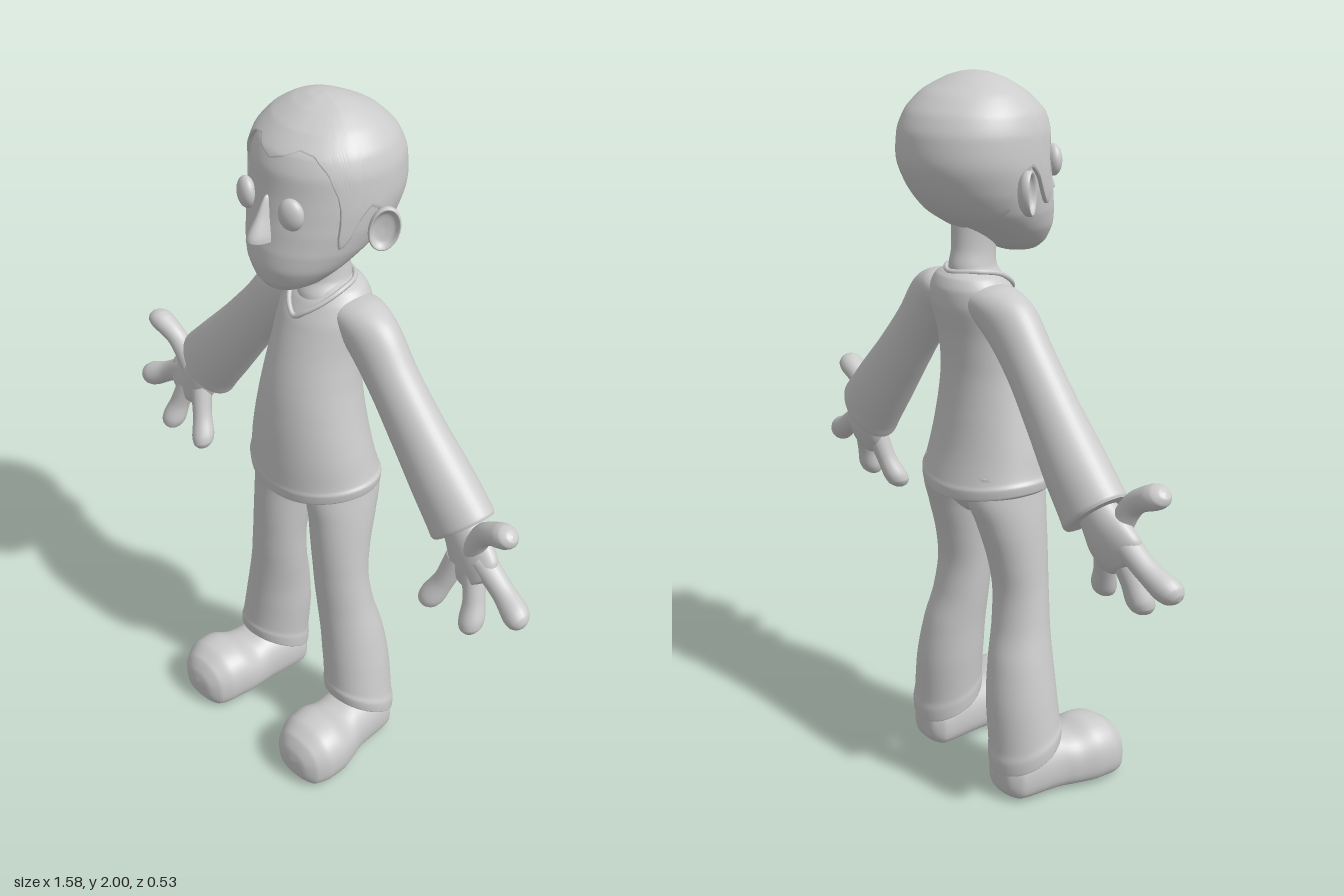
import * as THREE from 'three';

const V3 = (x, y, z) => new THREE.Vector3(x, y, z);
const X = V3(1, 0, 0), Y = V3(0, 1, 0), Z = V3(0, 0, 1);
const material = new THREE.MeshStandardMaterial({ color: 0xcccccc, side: THREE.DoubleSide });

// Grid of points f(t, angle) turned into a smooth closed-ring surface with optional flat caps
function surface(f, rows, cols, cap = [false, false]) {
  const pos = [], idx = [];
  for (let i = 0; i <= rows; i++)
    for (let j = 0; j <= cols; j++) pos.push(...f(i / rows, ((j % cols) / cols) * Math.PI * 2).toArray());
  const w = cols + 1;
  for (let i = 0; i < rows; i++)
    for (let j = 0; j < cols; j++) {
      const a = i * w + j, b = a + w;
      idx.push(a, a + 1, b, a + 1, b + 1, b);
    }
  cap.forEach((on, end) => {
    if (!on) return;
    const start = pos.length / 3, centre = V3(0, 0, 0);
    for (let j = 0; j < cols; j++) {
      const p = f(end, (j / cols) * Math.PI * 2);
      centre.addScaledVector(p, 1 / cols);
      pos.push(...p.toArray());
    }
    pos.push(...centre.toArray());
    for (let j = 0; j < cols; j++) {
      const a = start + j, b = start + ((j + 1) % cols);
      idx.push(start + cols, ...(end ? [a, b] : [b, a]));
    }
  });
  const g = new THREE.BufferGeometry();
  g.setAttribute('position', new THREE.Float32BufferAttribute(pos, 3));
  g.setIndex(idx);
  g.computeVertexNormals();
  // Weld the normals along the seam
  const n = g.attributes.normal;
  for (let i = 0; i <= rows; i++) {
    const a = i * w, b = a + cols;
    const s = V3(n.getX(a) + n.getX(b), n.getY(a) + n.getY(b), n.getZ(a) + n.getZ(b)).normalize();
    n.setXYZ(a, s.x, s.y, s.z);
    n.setXYZ(b, s.x, s.y, s.z);
  }
  return g;
}

// Smooth loft through sections [x, y, z, half width along U, half width along V]
function section(list) {
  const c = new THREE.CatmullRomCurve3(list.map(s => V3(s[0], s[1], s[2])));
  const r = new THREE.CatmullRomCurve3(list.map(s => V3(s[3], s[4], 0)));
  return (t) => {
    const q = r.getPoint(t);
    return { c: c.getPoint(t), a: Math.max(q.x, 0), b: Math.max(q.y, 0) };
  };
}
function loft(list, U, V, { cap, cols = 40, bend = p => p, power = 1 } = {}) {
  const at = section(list);
  const pw = v => Math.sign(v) * Math.abs(v) ** power;
  return surface((t, th) => {
    const s = at(t);
    return bend(s.c.addScaledVector(U, s.a * pw(Math.sin(th))).addScaledVector(V, s.b * pw(Math.cos(th))));
  }, list.length * 6, cols, cap);
}
// Upright section given as [y, half width, front z, back z, centre x]
const up = ([y, w, f, b, x = 0]) => [x, y, (f + b) / 2, w, (f - b) / 2];

function mirrored(geo) {
  const g = geo.clone().scale(-1, 1, 1), i = g.index.array;
  for (let k = 0; k < i.length; k += 3) [i[k], i[k + 1]] = [i[k + 1], i[k]];
  return g;
}

// Rounded finger through a root, a knuckle and a tip
function finger(root, mid, tip, r) {
  const [a, b, c] = [root, mid, tip].map(p => V3(...p));
  const T = c.clone().sub(a).normalize(), U = T.clone().cross(Z).normalize();
  const end = c.clone().sub(b).normalize();
  const back = d => c.clone().addScaledVector(end, -d * r);
  return loft([[a, 1], [b, 0.9], [back(1.3), 1.05], [back(0.6), 0.93], [back(0.15), 0.5], [c, 0]]
    .map(([p, k]) => [p.x, p.y, p.z, r * k, r * k]), U, Z, { cols: 18 });
}

export function createModel() {
  const model = new THREE.Group();
  const add = (name, geo) => {
    const m = new THREE.Mesh(geo, material);
    m.name = name;
    model.add(m);
  };
  const pair = (name, geo) => {
    add('left' + name, geo);
    add('right' + name, mirrored(geo));
  };

  // Head
  const headList = [
    [1.522, 0, 0.09, 0.07], [1.53, 0.05, 0.128, 0.03], [1.555, 0.094, 0.15, -0.03], [1.6, 0.135, 0.162, -0.1],
    [1.65, 0.163, 0.16, -0.175], [1.71, 0.181, 0.15, -0.222], [1.78, 0.19, 0.138, -0.25],
    [1.85, 0.187, 0.13, -0.247], [1.9, 0.172, 0.11, -0.225], [1.945, 0.135, 0.065, -0.18],
    [1.975, 0.085, 0.015, -0.122], [1.987, 0.042, -0.02, -0.085], [1.99, 0, -0.05, -0.05]].map(up);
  add('head', loft(headList, X, Z, { cols: 64 }));

  // Hair: an offset of the skull cut along the hairline [angle from front, y]
  const line = [[0, 1.885], [0.2, 1.897], [0.42, 1.915], [0.65, 1.907], [0.85, 1.87], [1.0, 1.8], [1.1, 1.7],
    [1.17, 1.672], [1.24, 1.685], [1.3, 1.75], [1.4, 1.78], [1.6, 1.76], [1.85, 1.67], [2.4, 1.62], [3.15, 1.605]];
  const hairline = th => {
    const a = Math.min(th, Math.PI * 2 - th), k = line.findIndex(p => p[0] > a);
    const [p, q] = [line[k - 1], line[k]], u = (a - p[0]) / (q[0] - p[0]);
    return p[1] + (q[1] - p[1]) * u;
  };
  const skull = section(headList);
  const heightToT = y => {
    let lo = 0, hi = 1;
    for (let i = 0; i < 24; i++) {
      const m = (lo + hi) / 2;
      if (skull(m).c.y < y) lo = m; else hi = m;
    }
    return lo;
  };
  add('hair', surface((t, th) => {
    const t0 = heightToT(hairline(th)), u = Math.max(0, t - 0.04) / 0.96;
    const s = skull(t0 + (1 - t0) * u), k = t === 0 ? 0.96 : t < 0.03 ? 1.045 : 1.065;
    return V3(s.a * k * Math.sin(th), s.c.y + 0.01 * u, s.c.z + s.b * k * Math.cos(th));
  }, 48, 160));

  // Face
  pair('Eye', new THREE.SphereGeometry(1, 28, 20).scale(0.035, 0.042, 0.022).rotateY(0.3).translate(0.083, 1.766, 0.133));
  add('nose', loft([[1.672, 0.024, 0.185, 0.1], [1.678, 0.03, 0.201, 0.1], [1.69, 0.029, 0.2, 0.1],
    [1.74, 0.017, 0.171, 0.1], [1.785, 0.008, 0.146, 0.1], [1.795, 0, 0.13, 0.11]].map(up), X, Z, { cap: [true, false], cols: 24 }));

  // Ears: shallow dishes with a rolled rim
  const dish = [[0, -0.02], [0.6, -0.016], [0.92, -0.004], [1, 0.008], [0.94, 0.017], [0.82, 0.014], [0.6, 0.004], [0, 0]];
  const dishCurve = new THREE.SplineCurve(dish.map(p => new THREE.Vector2(p[0], p[1])));
  const ear = new THREE.LatheGeometry(dishCurve.getPoints(28).map(p => new THREE.Vector2(Math.max(p.x, 0), p.y)), 32);
  ear.rotateZ(-Math.PI / 2).scale(1, 0.06, 0.04).rotateX(-0.2).rotateY(-0.65).translate(0.212, 1.717, -0.055);
  pair('Ear', ear);

  // Neck
  add('neck', loft([[1.42, 0.09, 0.025, -0.12], [1.465, 0.074, 0.018, -0.13], [1.5, 0.056, 0.0, -0.135],
    [1.55, 0.05, 0.0, -0.127], [1.64, 0.055, 0.01, -0.127]].map(up), X, Z));

  // Shirt body with a dipping hem
  const dip = p => {
    const w = THREE.MathUtils.clamp((1.1 - p.y) / 0.2, 0, 1);
    p.y -= 0.03 * w * (1 - (p.x / 0.21) ** 2);
    return p;
  };
  add('shirt', loft([[0.902, 0.195, 0.122, -0.172], [0.908, 0.205, 0.134, -0.184], [0.93, 0.208, 0.137, -0.185],
    [0.945, 0.2, 0.136, -0.18], [1.02, 0.184, 0.135, -0.16], [1.12, 0.16, 0.128, -0.145], [1.22, 0.14, 0.113, -0.14],
    [1.32, 0.13, 0.085, -0.152], [1.4, 0.132, 0.055, -0.172], [1.45, 0.122, 0.025, -0.172],
    [1.48, 0.098, -0.005, -0.158], [1.495, 0.06, -0.035, -0.135], [1.497, 0, -0.08, -0.09]].map(up),
  X, Z, { cap: [true, false], cols: 56, bend: dip }));

  // V-neck collar edge
  const half = [[0.03, 1.432, 0.042], [0.062, 1.46, 0.008], [0.078, 1.486, -0.04], [0.065, 1.496, -0.1]];
  const loop = [[0, 1.413, 0.052], ...half, [0, 1.492, -0.142], ...half.slice().reverse().map(([x, y, z]) => [-x, y, z])];
  add('collar', new THREE.TubeGeometry(new THREE.CatmullRomCurve3(loop.map(p => V3(...p)), true), 80, 0.007, 8, true));

  // Sleeves
  const armU = V3(-0.74, -0.67, 0);
  pair('Sleeve', loft([[0.03, 1.44, -0.075, 0.035, 0.05], [0.1, 1.42, -0.075, 0.07, 0.072], [0.17, 1.375, -0.07, 0.083, 0.068],
    [0.25, 1.285, -0.067, 0.078, 0.065], [0.35, 1.165, -0.068, 0.085, 0.07], [0.44, 1.06, -0.07, 0.096, 0.078],
    [0.5, 0.99, -0.07, 0.103, 0.079], [0.517, 0.969, -0.07, 0.106, 0.079], [0.523, 0.962, -0.07, 0.102, 0.075]],
  armU, Z, { cap: [false, true] }));

  // Hands
  pair('Palm', loft([[0.49, 1.0, -0.065, 0.06, 0.045], [0.53, 0.955, -0.062, 0.066, 0.045], [0.565, 0.91, -0.057, 0.082, 0.044],
    [0.592, 0.878, -0.05, 0.085, 0.04], [0.613, 0.852, -0.042, 0.065, 0.032], [0.622, 0.842, -0.04, 0, 0]], armU, Z));
  [['Thumb', [0.575, 0.92, -0.05], [0.625, 1.015, -0.035], [0.725, 1.073, -0.025], 0.034],
    ['FirstFinger', [0.61, 0.915, -0.05], [0.69, 0.862, -0.045], [0.786, 0.81, -0.025], 0.035],
    ['MiddleFinger', [0.59, 0.88, -0.045], [0.615, 0.8, -0.025], [0.636, 0.708, 0.005], 0.034],
    ['LittleFinger', [0.535, 0.885, -0.045], [0.51, 0.8, -0.025], [0.472, 0.708, 0.005], 0.033],
  ].forEach(([n, ...p]) => pair(n, finger(...p)));

  // Trousers: pelvis and legs with slanting hems
  add('pelvis', loft([[0.8, 0, -0.01, -0.04], [0.808, 0.04, 0.035, -0.085], [0.84, 0.115, 0.07, -0.122],
    [0.88, 0.17, 0.092, -0.148], [0.95, 0.183, 0.1, -0.155], [1.0, 0.17, 0.1, -0.145]].map(up), X, Z));
  const slant = p => {
    const w = THREE.MathUtils.clamp((0.42 - p.y) / 0.28, 0, 1);
    p.y += 0.5 * w * (p.z + 0.03);
    return p;
  };
  pair('TrouserLeg', loft([[0.128, 0.096, 0.06, -0.12, 0.19], [0.133, 0.106, 0.07, -0.13, 0.19], [0.165, 0.107, 0.073, -0.133, 0.189],
    [0.19, 0.103, 0.07, -0.13, 0.186], [0.3, 0.099, 0.068, -0.13, 0.172], [0.4, 0.092, 0.067, -0.115, 0.159],
    [0.5, 0.086, 0.068, -0.09, 0.143], [0.6, 0.083, 0.072, -0.08, 0.132], [0.7, 0.084, 0.076, -0.095, 0.123],
    [0.8, 0.086, 0.08, -0.125, 0.114], [0.88, 0.088, 0.085, -0.15, 0.103], [0.95, 0.085, 0.08, -0.145, 0.098]].map(up),
  X, Z, { cap: [true, true], bend: slant }));

  // Shoes: round toe, dipped instep and flat sole, as [z, centre x, half width, top]
  const flat = p => {
    if (p.y < 0.03) p.y = 0.012 * Math.max(0, (p.y + 0.03) / 0.06) ** 1.5 * 2.5;
    return p;
  };
  pair('Shoe', loft([[-0.128, 0.188, 0, 0.09], [-0.12, 0.188, 0.045, 0.12], [-0.09, 0.19, 0.078, 0.15], [-0.03, 0.194, 0.087, 0.17],
    [0.04, 0.2, 0.088, 0.168], [0.09, 0.208, 0.097, 0.158], [0.15, 0.216, 0.108, 0.178], [0.2, 0.219, 0.105, 0.174],
    [0.24, 0.219, 0.086, 0.15], [0.262, 0.219, 0.05, 0.115], [0.27, 0.219, 0, 0.08]]
    .map(([z, x, w, top]) => {
      const low = w === 0 ? top : w < 0.06 ? 0.025 : -0.02;
      return [x, (top + low) / 2, z, w, (top - low) / 2];
    }), X.clone().negate(), Y, { bend: flat, power: 0.85 }));

  return model;
}
